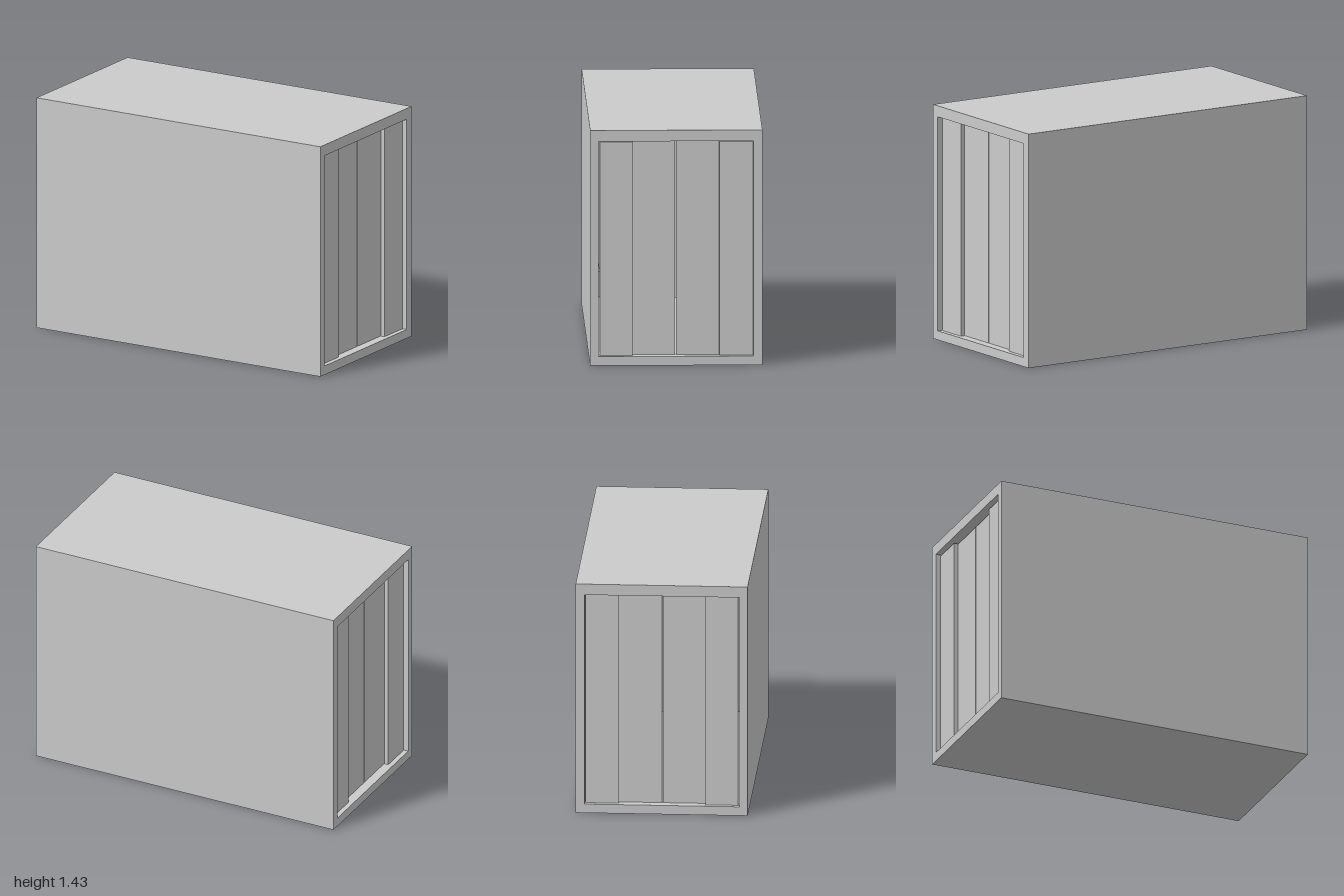
import * as THREE from 'three';

export function createModel() {
  const group = new THREE.Group();
  const material = new THREE.MeshStandardMaterial({ color: 0xcccccc, flatShading: true });

  const add = (name, geometry, parent = group) => {
    const mesh = new THREE.Mesh(geometry, material);
    mesh.name = name;
    parent.add(mesh);
    return mesh;
  };
  // Box given by its lower and upper corners
  const box = (name, [x0, y0, z0], [x1, y1, z1], parent) => {
    const mesh = add(name, new THREE.BoxGeometry(x1 - x0, y1 - y0, z1 - z0), parent);
    mesh.position.set((x0 + x1) / 2, (y0 + y1) / 2, (z0 + z1) / 2);
    return mesh;
  };

  const L = 1, W = 0.515, H = 1.43;       // half length, half width, height
  const floorTop = 0.055, headY = 1.363;  // door opening, bottom and top
  const doorTop = 1.355, wall = 0.03, frameDepth = 0.09;

  // Floor and hollow shell
  box('floor', [-L, 0, -W], [L, floorTop, W]);
  const inner = L - frameDepth;
  box('ceiling', [-inner, H - 0.05, -W], [inner, H, W]);
  box('frontWall', [-inner, floorTop, W - wall], [inner, H - 0.05, W]);
  box('backWall', [-inner, floorTop, -W], [inner, H - 0.05, -W + wall]);

  // Handrails along the inside of both long walls
  for (const side of [-1, 1]) {
    const z = [side * 0.455, side * 0.467].sort((a, b) => a - b);
    box('handrail', [-0.8, 0.533, z[0]], [0.8, 0.558, z[1]]);
    for (const x of [-0.6, 0, 0.6]) {
      const b = [side * 0.467, side * (W - wall)].sort((p, q) => p - q);
      box('railBracket', [x - 0.01, 0.54, b[0]], [x + 0.01, 0.551, b[1]]);
    }
  }

  // Door surround: an arch-shaped frame, open down to the floor
  const surround = new THREE.Shape([
    [-W, floorTop], [-0.465, floorTop], [-0.465, headY], [0.461, headY],
    [0.461, floorTop], [W, floorTop], [W, H], [-W, H],
  ].map(([a, b]) => new THREE.Vector2(a, b)));

  // Sliding panels per end: [z from, z to, outer face x]
  const outerX = 0.97, innerX = 0.942, thick = 0.026;
  const panels = [
    ['outerDoorPanel', 0.26, 0.457, outerX],
    ['innerDoorPanel', 0.006, 0.28, innerX],
    ['innerDoorPanel', -0.28, 0, innerX],
    ['outerDoorPanel', -0.459, -0.258, outerX],
  ];

  for (const end of [-1, 1]) {
    const doorway = new THREE.Group();
    doorway.name = end > 0 ? 'leftDoorway' : 'rightDoorway';
    group.add(doorway);

    // Mirror the surround so its openings line up at both ends
    const frame = add('doorSurround',
      new THREE.ExtrudeGeometry(surround, { depth: frameDepth, bevelEnabled: false }), doorway);
    frame.rotation.y = Math.PI / 2;
    frame.position.x = end > 0 ? inner : -L;

    for (const [name, z0, z1, face] of panels) {
      const x = [end * face, end * (face - thick)].sort((a, b) => a - b);
      box(name, [x[0], floorTop, z0], [x[1], doorTop, z1], doorway);
    }
  }
  return group;
}
